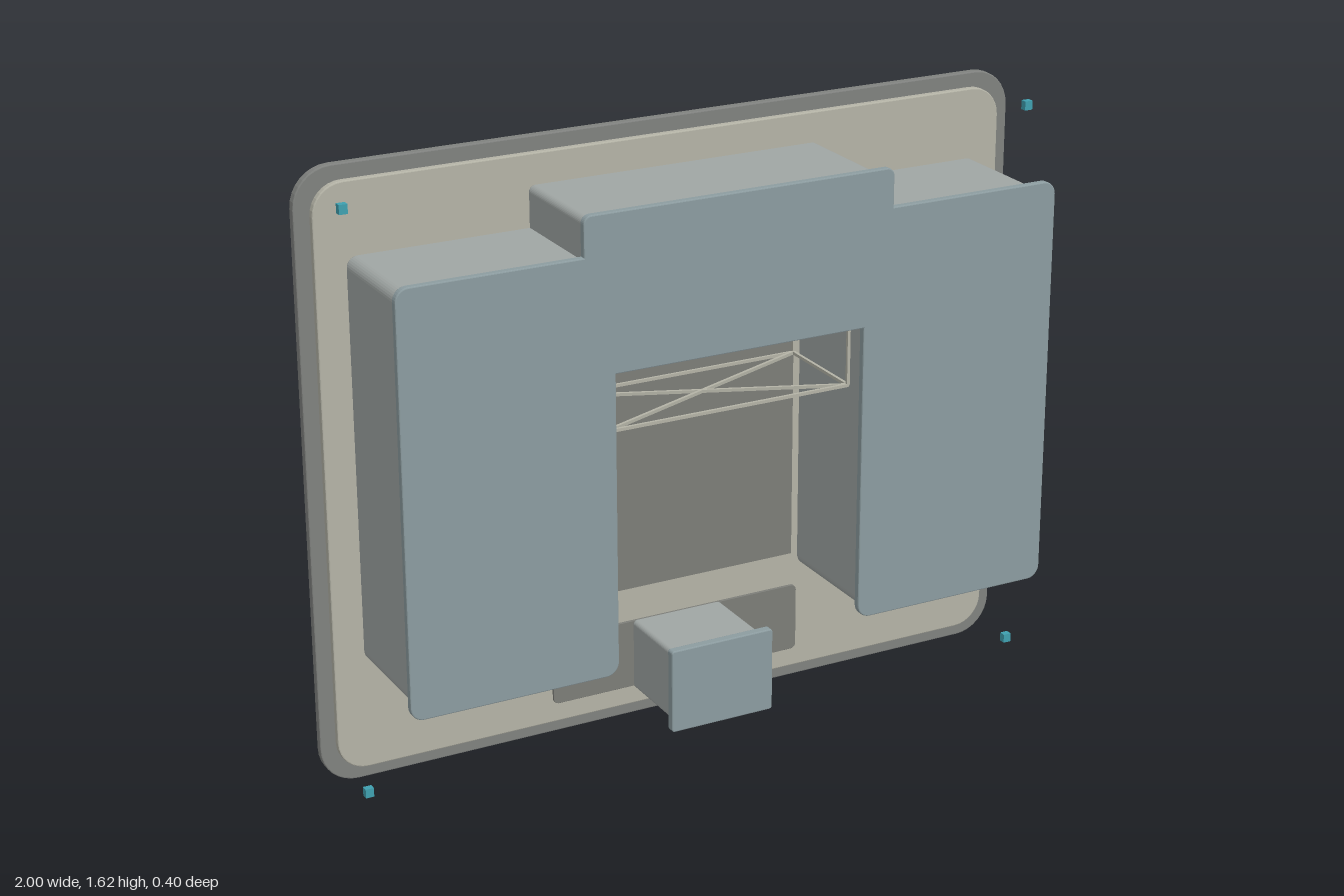
import * as THREE from 'three';

const mat = (color) => new THREE.MeshStandardMaterial({ color });
const baseMat = mat(0x80827f), plateMat = mat(0xb4b3a6), wallMat = mat(0xa0a6a4);
const roofMat = mat(0x8c9ca0), darkMat = mat(0x7c7d78), ventMat = mat(0x505250), studMat = mat(0x3fa0b0);

// Closed outline from [x, y, cornerRadius] points
function outline(points) {
  const shape = new THREE.Shape();
  const n = points.length;
  points.forEach(([x, y, r], i) => {
    const p = new THREE.Vector2(x, y);
    const toward = (q) => new THREE.Vector2(q[0], q[1]).sub(p).setLength(r).add(p);
    const a = toward(points[(i + n - 1) % n]), b = toward(points[(i + 1) % n]);
    if (i === 0) shape.moveTo(a.x, a.y); else shape.lineTo(a.x, a.y);
    if (r > 0) {
      // circular-looking corner
      const k = 0.5523;
      const c1 = a.clone().lerp(p, k), c2 = b.clone().lerp(p, k);
      shape.bezierCurveTo(c1.x, c1.y, c2.x, c2.y, b.x, b.y);
    }
  });
  shape.closePath();
  return shape;
}

const rect = (w, y0, y1, r) => [[-w, y0, r], [w, y0, r], [w, y1, r], [-w, y1, r]];

// U-shaped plan with a raised middle, mirrored about x = 0
function uPlan(w, y0, shoulder, mid, top, notchW, notchTop, r) {
  const half = [[notchW, notchTop, 0], [notchW, y0, r], [w, y0, r], [w, shoulder, r], [mid, shoulder, 0], [mid, top, r * 0.6]];
  return half.concat(half.map(([x, y, q]) => [-x, y, q]).reverse());
}

export function createModel() {
  const group = new THREE.Group();

  function add(name, geometry, material, x = 0, y = 0, z = 0) {
    const mesh = new THREE.Mesh(geometry, material);
    mesh.name = name;
    mesh.position.set(x, y, z);
    group.add(mesh);
    return mesh;
  }
  function slab(name, points, z0, z1, material, bevel = 0.003) {
    const geometry = new THREE.ExtrudeGeometry(outline(points), {
      depth: z1 - z0 - 2 * bevel, curveSegments: 8,
      bevelEnabled: true, bevelThickness: bevel, bevelSize: bevel, bevelOffset: -bevel, bevelSegments: 2,
    });
    return add(name, geometry, material, 0, 0, z0 + bevel);
  }
  const box = (name, w, h, d, material, x, y, z) =>
    add(name, new THREE.BoxGeometry(w, h, d), material, x, y, z);

  // Stacked backing plates
  slab('basePlate', rect(1, 0.005, 1.625, 0.1), -0.2, -0.176, baseMat);
  slab('innerPlate', rect(0.96, 0.043, 1.587, 0.08), -0.176, -0.156, plateMat);

  // Main U-shaped block and its cover panel
  slab('mainBody', uPlan(0.885, 0.345, 1.405, 0.405, 1.512, 0.36, 1.14, 0.03), -0.15, 0.17, wallMat, 0.01);
  slab('coverPanel', uPlan(0.905, 0.33, 1.428, 0.425, 1.53, 0.345, 1.125, 0.035), 0.18, 0.2, roofMat);

  // Dark floor in the recess
  box('recessFloor', 0.69, 0.72, 0.008, darkMat, 0, 0.74, -0.152);

  // Braced open frame across the top of the recess
  const bar = 0.008, zFront = 0.13, zBack = -0.145, w = 0.343;
  const rod = (a, b) => {
    const p = new THREE.Vector3(...a), q = new THREE.Vector3(...b);
    const mesh = box('frameBar', bar, bar, p.distanceTo(q), plateMat, 0, 0, 0);
    mesh.position.copy(p).add(q).multiplyScalar(0.5);
    mesh.lookAt(q);
  };
  const low = 0.952, high = 1.11;
  rod([-w, low, zFront], [w, low, zFront]);
  rod([-w, low, zBack], [w, low, zBack]);
  rod([-w, low, zBack], [w, low, zFront]);
  rod([-w, low, zFront], [w, low, zBack]);
  for (const s of [-1, 1]) {
    rod([s * w, low, zBack], [s * w, low, zFront]);
    rod([s * w, low, zFront], [s * w, high, zFront]);
    rod([s * w, low, zBack], [s * w, high, zBack]);
  }

  // Small block below the recess, with its mat and cover
  slab('lowerMat', rect(0.362, 0.097, 0.285, 0.015), -0.157, -0.149, darkMat, 0.001);
  slab('lowerBlock', rect(0.13, 0.092, 0.288, 0.012), -0.15, 0.074, wallMat, 0.006);
  slab('lowerCover', rect(0.147, 0.076, 0.305, 0.008), 0.08, 0.104, roofMat);

  // Dark panes on the undersides
  for (const s of [-1, 1]) {
    for (const x of [0.53, 0.72]) box('legPane', 0.15, 0.012, 0.19, ventMat, s * x, 0.341, -0.03);
    box('lowerPane', 0.09, 0.012, 0.125, ventMat, s * 0.06, 0.088, -0.065);
  }

  // Corner studs
  for (const x of [-0.945, 0.945])
    for (const y of [0.06, 1.572]) box('cornerStud', 0.022, 0.024, 0.018, studMat, x, y, 0);

  return group;
}
